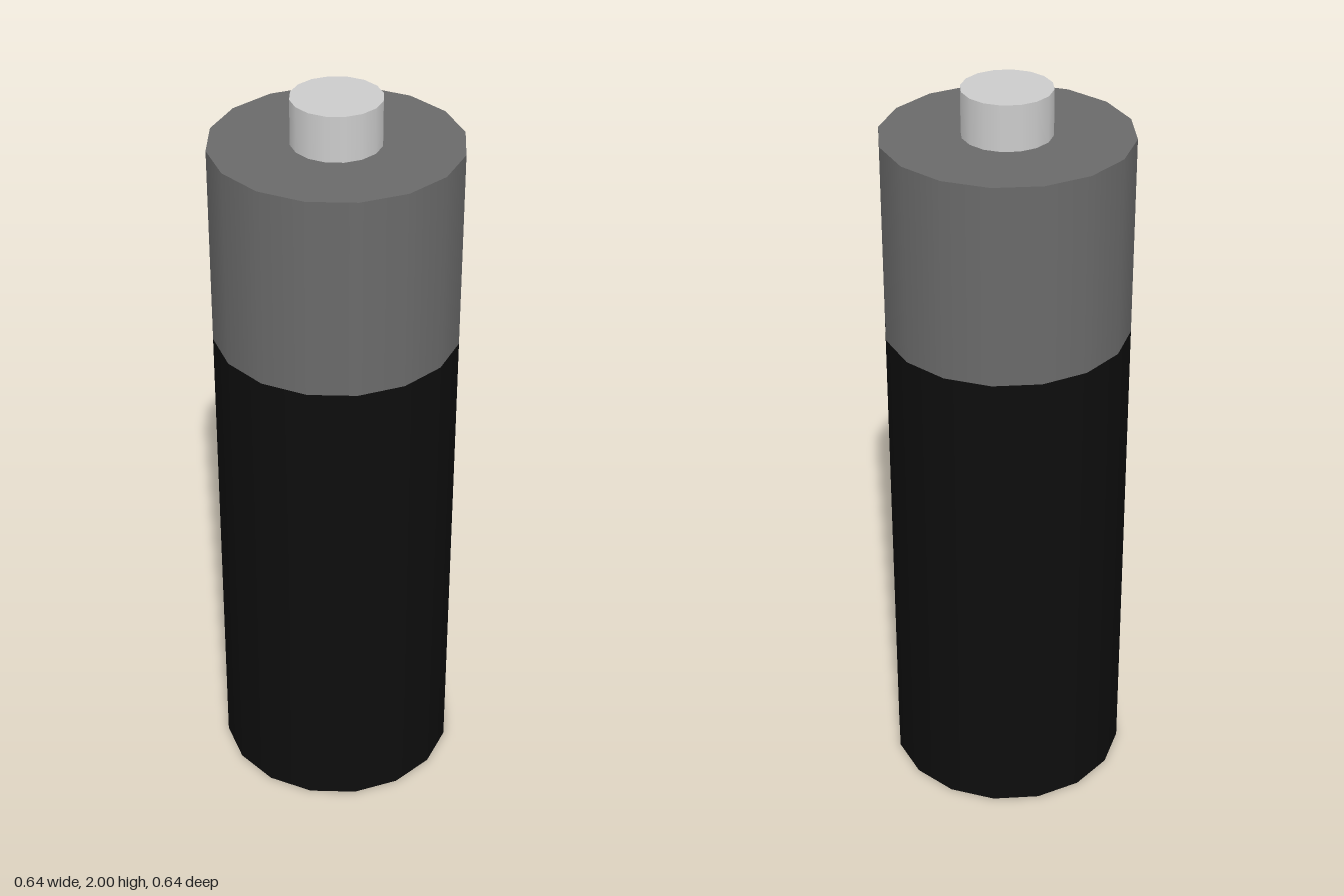
import * as THREE from 'three';

const SIDES = 16;

// Upright 16-sided cylinder section from y0 to y1
function section(name, radius, y0, y1, color) {
  const geometry = new THREE.CylinderGeometry(radius, radius, y1 - y0, SIDES);
  const mesh = new THREE.Mesh(geometry, new THREE.MeshStandardMaterial({ color }));
  mesh.position.y = (y0 + y1) / 2;
  mesh.name = name;
  return mesh;
}

export function createModel() {
  const battery = new THREE.Group();
  battery.name = 'battery';
  battery.add(
    section('lowerCasing', 0.322, 0, 1.345, 0x0d0d0d),
    section('upperCasing', 0.322, 1.345, 1.88, 0x6a6a6a),
    section('positiveTerminal', 0.116, 1.88, 2, 0xcccccc),
  );
  return battery;
}
